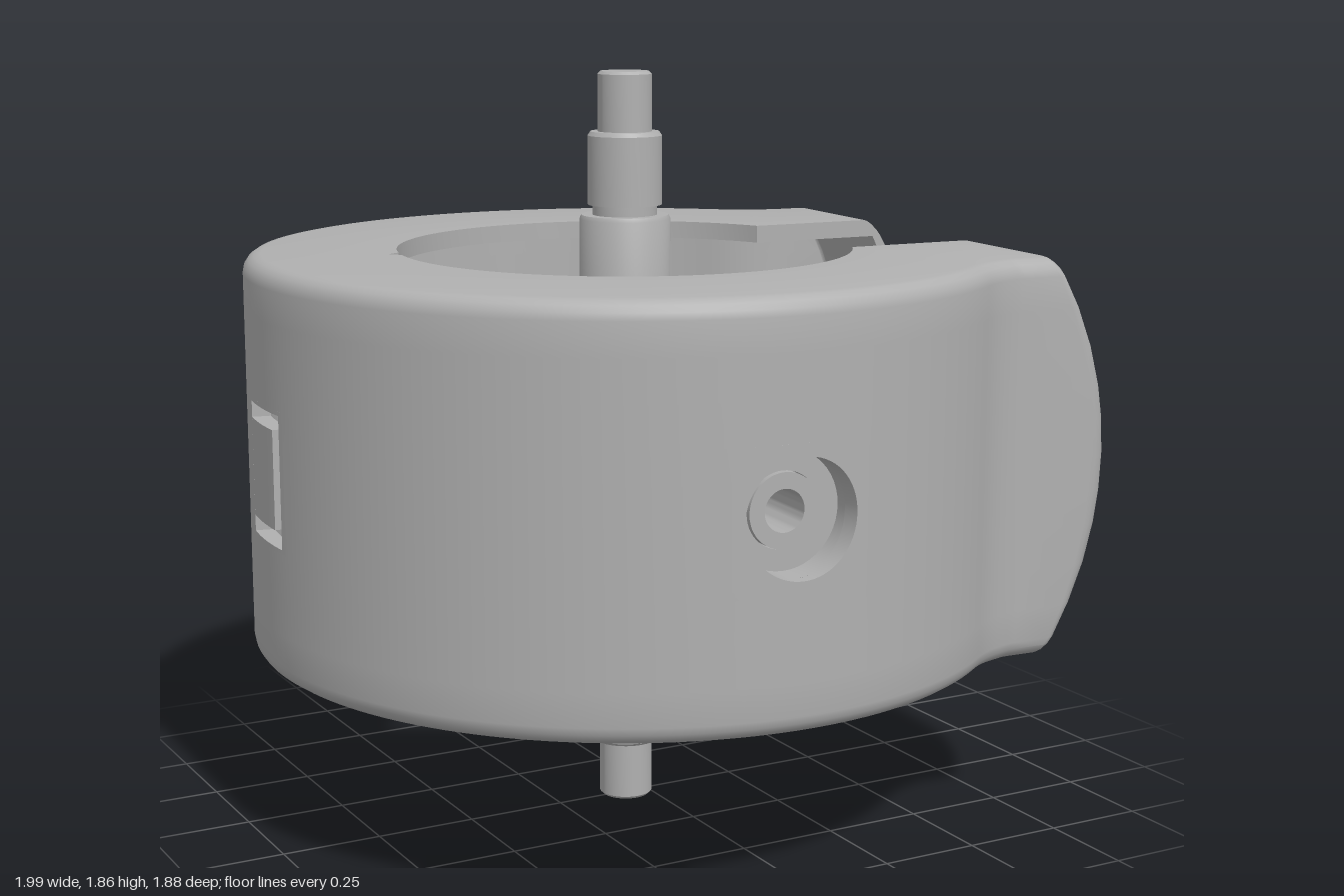
import * as THREE from 'three';
import { toCreasedNormals } from 'three/addons/utils/BufferGeometryUtils.js';

const R = 0.94, RI = 0.565;           // outer and inner ring radius
const T = 1.425, B = 0.435, MID = 0.93; // top, bottom and middle height
const TH = 0.045;                     // wall thickness and edge fillet
const END = 1.02, GAP = 0.255, ARM = 0.65; // arm end, inner side, outer side
const HV = 0.17;                      // half height of the wall windows
const WINDOWS = [
  { name: 'frontHole', phi: Math.PI / 2, hu: 0.17, round: true },
  { name: 'latchSlot', phi: Math.PI, hu: 0.13, round: false },
  { name: 'backHole', phi: -Math.PI / 2, hu: 0.17, round: true },
];

// Surface from a function of two grid indices
function grid(nu, nv, f, skip = () => false) {
  const pos = [], index = [];
  for (let i = 0; i <= nu; i++) for (let j = 0; j <= nv; j++) pos.push(...f(i, j));
  for (let i = 0; i < nu; i++) for (let j = 0; j < nv; j++) {
    if (skip(i, j)) continue;
    const a = i * (nv + 1) + j, b = a + nv + 1;
    index.push(a, b, a + 1, b, b + 1, a + 1);
  }
  const g = new THREE.BufferGeometry();
  g.setAttribute('position', new THREE.Float32BufferAttribute(pos, 3));
  g.setIndex(index);
  return toCreasedNormals(g, 0.5);
}

function lathe(points, segments = 48) {
  return new THREE.LatheGeometry(points.map(p => new THREE.Vector2(...p)), segments);
}

// Plan of the shell: outer points p paired with inner rim points q
function plan() {
  const phi0 = 50 * Math.PI / 180, psi0 = Math.asin(GAP / RI);
  const path = new THREE.Path();
  path.moveTo(END, GAP).lineTo(END, ARM - 0.06);
  for (let i = 1; i <= 6; i++) {
    const a = i / 6 * Math.PI / 2;
    path.lineTo(END - 0.06 + 0.06 * Math.cos(a), ARM - 0.06 + 0.06 * Math.sin(a));
  }
  path.lineTo(0.78, ARM);
  path.quadraticCurveTo(0.687, ARM, R * Math.cos(phi0), R * Math.sin(phi0));
  const arm = path.getPoints(8);
  const half = arm.map((p, i) => ({
    p, q: new THREE.Vector2(THREE.MathUtils.lerp(END - TH, RI * Math.cos(psi0), i / (arm.length - 1)), GAP),
  }));
  const stops = [phi0, Math.PI / 2 - 0.17 / R, Math.PI / 2 + 0.17 / R, Math.PI - 0.13 / R, Math.PI];
  for (let s = 0; s < 4; s++) {
    const n = Math.ceil((stops[s + 1] - stops[s]) / 0.04);
    for (let i = 1; i <= n; i++) {
      const phi = THREE.MathUtils.lerp(stops[s], stops[s + 1], i / n);
      const psi = THREE.MathUtils.mapLinear(phi, phi0, Math.PI, psi0, Math.PI);
      half.push({
        p: new THREE.Vector2(R * Math.cos(phi), R * Math.sin(phi)),
        q: new THREE.Vector2(RI * Math.cos(psi), RI * Math.sin(psi)),
      });
    }
  }
  const flip = v => new THREE.Vector2(v.x, -v.y);
  const all = half.concat(half.slice(0, -1).reverse().map(o => ({ p: flip(o.p), q: flip(o.q) })));
  // Small notch in the inner rim
  all.forEach(o => { if (Math.abs(Math.atan2(o.q.y, o.q.x) + 2.96) < 0.02) o.q.multiplyScalar(1.05); });
  // Outward normals
  all.forEach((o, i) => {
    const t = all[Math.min(i + 1, all.length - 1)].p.clone().sub(all[Math.max(i - 1, 0)].p).normalize();
    o.n = new THREE.Vector2(t.y, -t.x);
  });
  return all;
}

// Closed C-shaped wall section: [inset or null for the inner rim, height]
function section() {
  const rows = [1.3, 1.2, MID + HV, 1.02, MID, 0.84, MID - HV, 0.66, 0.56];
  const fillet = [0, 1, 2, 3, 4].map(k => k / 4 * Math.PI / 2)
    .map(a => [TH * (1 - Math.sin(a)), TH * (1 - Math.cos(a))]);
  return [
    [null, T], ...fillet.map(([d, y]) => [d, T - y]),
    ...rows.map(y => [0, y]),
    ...fillet.reverse().map(([d, y]) => [d, B + y]),
    [null, B], [null, B + TH],
    ...[B + TH, ...rows.reverse(), T - TH].map(y => [TH, y]),
    [null, T - TH], [null, T],
  ];
}

function shellGeometries() {
  const pl = plan(), sec = section();
  const point = (i, j) => {
    const { p, q, n } = pl[i], [inset, y] = sec[j];
    let x = inset === null ? q.x : p.x - n.x * inset;
    const z = inset === null ? q.y : p.y - n.y * inset;
    // Arm ends bulge outward at mid height
    const end = END - 0.82 + Math.sqrt(0.82 ** 2 - (y - MID) ** 2);
    if (x > 0.72) x = 0.72 + (x - 0.72) * (end - 0.72) / (END - 0.72);
    return [x, y, z];
  };
  const skip = (i, j) => {
    const [d0, y0] = sec[j], [d1, y1] = sec[j + 1];
    if (d0 === null || d0 !== d1 || Math.abs((y0 + y1) / 2 - MID) > HV) return false;
    const m = pl[i].p.clone().add(pl[i + 1].p);
    return WINDOWS.some(w => {
      const d = Math.atan2(m.y, m.x) - w.phi;
      return Math.abs(Math.atan2(Math.sin(d), Math.cos(d))) < w.hu / R;
    });
  };
  const body = grid(pl.length - 1, sec.length - 1, point, skip);
  const outline = sec.map((_, j) => new THREE.Vector2(point(0, j)[0], sec[j][1] - MID));
  const cap = new THREE.ShapeGeometry(new THREE.Shape(outline.slice(0, -1)));
  const capFront = cap.clone().rotateX(Math.PI).translate(0, MID, GAP);
  return { body, capFront, capBack: cap.translate(0, MID, -GAP) };
}

// Curved wall panel around a round or rectangular opening
function windowPanel({ phi, hu, round }) {
  const k = 4;
  return grid(64, 2 * k + 1, (i, j) => {
    const a = i / 64 * Math.PI * 2, c = Math.cos(a), s = Math.sin(a);
    const m = Math.max(Math.abs(c), Math.abs(s));
    const t = j <= k ? j / k : 1 - (j - k - 1) / k;
    const hole = round ? [0.14 * c, 0.14 * s] : [(hu - 0.02) * c / m, (HV - 0.01) * s / m];
    const u = THREE.MathUtils.lerp(hu * c / m, hole[0], t);
    const v = THREE.MathUtils.lerp(HV * s / m, hole[1], t);
    const r = j <= k ? R : R - TH, f = phi - u / R;
    return [r * Math.cos(f), MID + v, r * Math.sin(f)];
  });
}

export function createModel() {
  const grey = new THREE.MeshStandardMaterial({ color: 0xb0b0b0 });
  grey.name = 'plain grey';
  const model = new THREE.Group();
  model.name = 'clampHousing';
  const add = (name, geometry) => {
    const mesh = new THREE.Mesh(geometry, grey);
    mesh.name = name;
    model.add(mesh);
    return mesh;
  };

  // Hollow C-shaped shell
  const shell = shellGeometries();
  add('shell', shell.body);
  add('frontArmRim', shell.capFront);
  add('backArmRim', shell.capBack);
  WINDOWS.forEach(w => add(w.name + 'Panel', windowPanel(w)));

  // Latch tongue inside the slot, fixed on its back edge
  const tongue = new THREE.BoxGeometry(0.19, 0.24, TH, 8, 1, 1);
  const tp = tongue.attributes.position;
  for (let i = 0; i < tp.count; i++) {
    const f = Math.PI - (tp.getX(i) - 0.025) / R, r = R - TH / 2 + tp.getZ(i);
    tp.setXYZ(i, r * Math.cos(f), MID + tp.getY(i), r * Math.sin(f));
  }
  add('latchTongue', toCreasedNormals(tongue, 0.5));

  // Ribs under the plates beside the latch
  for (const z of [-0.115, 0.115]) for (const y of [T - 0.105, B + 0.105]) {
    add('latchRib', new THREE.BoxGeometry(0.31, 0.13, 0.06)).position.set(-0.75, y, z);
  }

  // Recessed screw seats behind the two round holes
  const seat = toCreasedNormals(lathe([[0.14, 0.91], [0.14, 0.84], [0.09, 0.84], [0.09, 0.79],
    [0.155, 0.79], [0.165, 0.80], [0.165, 0.885], [0.14, 0.91]]), 0.5);
  for (const side of [1, -1]) {
    const m = add(side > 0 ? 'frontSeat' : 'backSeat', seat);
    m.rotation.x = side * Math.PI / 2;
    m.position.y = MID;
  }

  // Flanged sleeve reaching in from the front seat
  const sleeve = add('flangedSleeve', toCreasedNormals(lathe([[0.05, 0.85], [0.05, 0.2], [0.13, 0.2],
    [0.14, 0.21], [0.14, 0.245], [0.13, 0.255], [0.115, 0.255], [0.115, 0.8],
    [0.088, 0.8], [0.088, 0.85], [0.05, 0.85]]), 0.5));
  sleeve.rotation.x = Math.PI / 2;
  sleeve.position.y = MID;

  // Stepped spindle with two flats on its thick middle
  const spindle = lathe([[0, 0], [0.06, 0], [0.067, 0.007], [0.067, 0.15], [0.085, 0.15], [0.092, 0.157],
    [0.092, 0.275], [0.08, 0.275], [0.08, 0.3], [0.113, 0.3], [0.113, 0.695], [0.14, 0.695], [0.168, 0.73],
    [0.168, 0.78], [0.168, 0.781], [0.168, 1.09], [0.168, 1.091], [0.15, 1.12], [0.113, 1.12],
    [0.113, 1.495], [0.108, 1.505], [0.08, 1.505], [0.08, 1.53], [0.092, 1.53], [0.092, 1.70],
    [0.085, 1.71], [0.067, 1.71], [0.067, 1.85], [0.06, 1.857], [0, 1.857]]);
  const sp = spindle.attributes.position;
  for (let i = 0; i < sp.count; i++) {
    const y = sp.getY(i);
    if (y > 0.7805 && y < 1.0905) sp.setX(i, THREE.MathUtils.clamp(sp.getX(i), -0.125, 0.125));
  }
  add('spindle', toCreasedNormals(spindle, 0.5));

  // The whole assembly is turned slightly about the spindle
  model.rotation.y = -0.061;
  model.position.x = -0.06;
  const root = new THREE.Group();
  root.name = 'model';
  root.add(model);
  return root;
}
